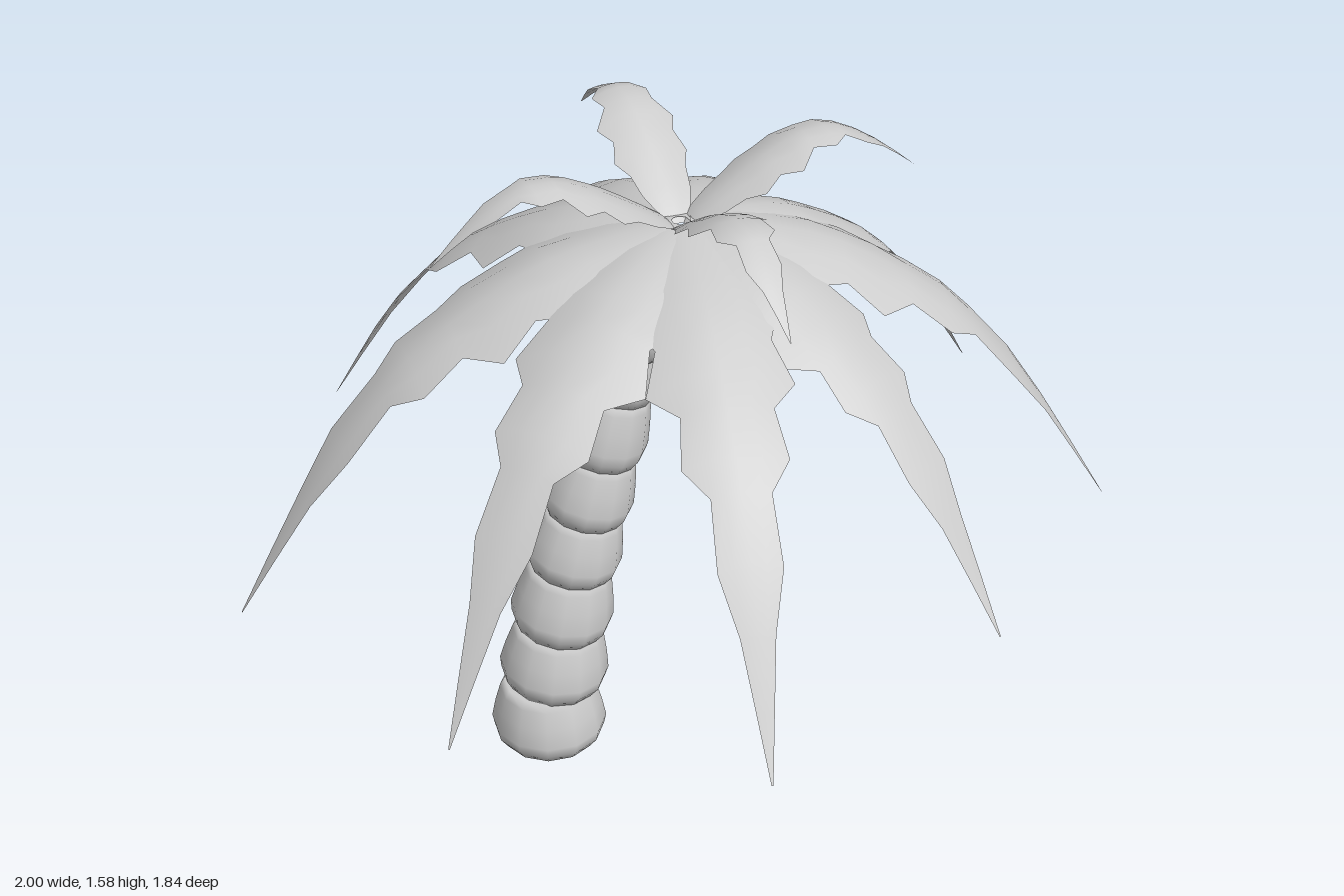
import * as THREE from 'three';

const grey = new THREE.MeshStandardMaterial({ color: 0xcccccc, side: THREE.DoubleSide });
grey.name = 'pale grey';

const CROWN = new THREE.Vector3(0, 1.4, -0.075);

// Rows along a frond of unit length: distance, half width, height when hanging, height when raised
const ROWS = [
  [0.02, 0.045, 0.015, 0.0],
  [0.07, 0.07, 0.012, 0.05],
  [0.14, 0.1, 0.005, 0.1],
  [0.22, 0.115, -0.008, 0.155],
  [0.29, 0.15, -0.025, 0.2],
  [0.36, 0.125, -0.052, 0.24],
  [0.44, 0.16, -0.095, 0.278],
  [0.51, 0.1, -0.137, 0.3],
  [0.6, 0.115, -0.2, 0.305],
  [0.66, 0.065, -0.257, 0.292],
  [0.76, 0.07, -0.373, 0.24],
  [0.84, 0.038, -0.492, 0.185],
  [0.92, 0.02, -0.625, 0.12],
  [1.0, 0.002, -0.76, 0.05],
];
const ACROSS = [-1, -0.5, 0, 0.5, 1];

// Arched blade with a toothed outline and drooping edges, pointing along +z
function frondGeometry(heightColumn) {
  const pos = [], index = [], n = ACROSS.length;
  for (const row of ROWS) {
    for (const a of ACROSS) {
      const x = a * row[1];
      pos.push(x, row[heightColumn] - 2.2 * x * x, row[0]);
    }
  }
  for (let i = 0; i < ROWS.length - 1; i++) {
    for (let j = 0; j < n - 1; j++) {
      const p = i * n + j;
      index.push(p, p + n, p + 1, p + 1, p + n, p + n + 1);
    }
  }
  const g = new THREE.BufferGeometry();
  g.setAttribute('position', new THREE.Float32BufferAttribute(pos, 3));
  g.setIndex(index);
  g.computeVertexNormals();
  return g;
}

// One frond reaching from the crown to each tip (x, z)
function frondRing(name, heightColumn, tips) {
  const ring = new THREE.Group();
  ring.name = name;
  const geometry = frondGeometry(heightColumn);
  for (const [x, z] of tips) {
    const frond = new THREE.Mesh(geometry, grey);
    frond.name = 'frond';
    frond.position.copy(CROWN);
    frond.rotation.y = Math.atan2(x - CROWN.x, z - CROWN.z);
    frond.scale.setScalar(Math.hypot(x - CROWN.x, z - CROWN.z));
    ring.add(frond);
  }
  return ring;
}

// Leaning trunk of stacked, flared segments
function trunk() {
  const group = new THREE.Group();
  group.name = 'trunk';
  // joint x, joint y, joint z, segment radius
  const joints = [
    [-0.325, 0.0, -0.017, 0.14],
    [-0.315, 0.165, -0.018, 0.132],
    [-0.295, 0.33, -0.02, 0.124],
    [-0.265, 0.5, -0.024, 0.116],
    [-0.23, 0.657, -0.028, 0.109],
    [-0.19, 0.817, -0.034, 0.103],
    [-0.15, 0.985, -0.04, 0.095],
    [-0.1, 1.16, -0.05, 0.085],
    [-0.02, 1.37, -0.07, 0],
  ];
  const profile = [[0, 0], [0.83, 0], [0.96, 0.16], [1, 0.32], [0.93, 0.62], [0.84, 0.9], [0.76, 1.03], [0, 1.03]];
  const up = new THREE.Vector3(0, 1, 0);
  for (let i = 0; i < joints.length - 1; i++) {
    const r = joints[i][3];
    const from = new THREE.Vector3(...joints[i]);
    const axis = new THREE.Vector3(...joints[i + 1]).sub(from);
    const h = axis.length();
    const segment = new THREE.Mesh(
      new THREE.LatheGeometry(profile.map(([a, b]) => new THREE.Vector2(a * r, b * h)), 12), grey);
    segment.name = 'trunkSegment';
    segment.position.copy(from);
    // The foot stays flat on the ground
    if (i > 0) segment.quaternion.setFromUnitVectors(up, axis.normalize());
    group.add(segment);
  }
  return group;
}

// Oval fruits hanging under the crown
function fruits() {
  const group = new THREE.Group();
  group.name = 'coconuts';
  const geometry = new THREE.SphereGeometry(0.08, 16, 12);
  for (const p of [[-0.09, 1.23, 0.06], [-0.07, 1.26, -0.12], [0.05, 1.21, -0.01]]) {
    const nut = new THREE.Mesh(geometry, grey);
    nut.name = 'coconut';
    nut.position.set(...p);
    nut.scale.y = 1.2;
    group.add(nut);
  }
  return group;
}

export function createModel() {
  const model = new THREE.Group();
  model.name = 'palmTree';
  model.add(trunk(), fruits());
  model.add(frondRing('hangingFronds', 2, [
    [1.0, -0.12], [0.7, -0.55], [0.14, -0.92], [-0.38, -0.9], [-0.85, -0.53],
    [-1.0, 0.27], [-0.5, 0.8], [0.18, 0.92], [0.69, 0.52],
  ]));
  model.add(frondRing('raisedFronds', 3, [
    [0.53, -0.3], [-0.23, -0.61], [-0.54, 0.15], [0.22, 0.46],
  ]));
  return model;
}
